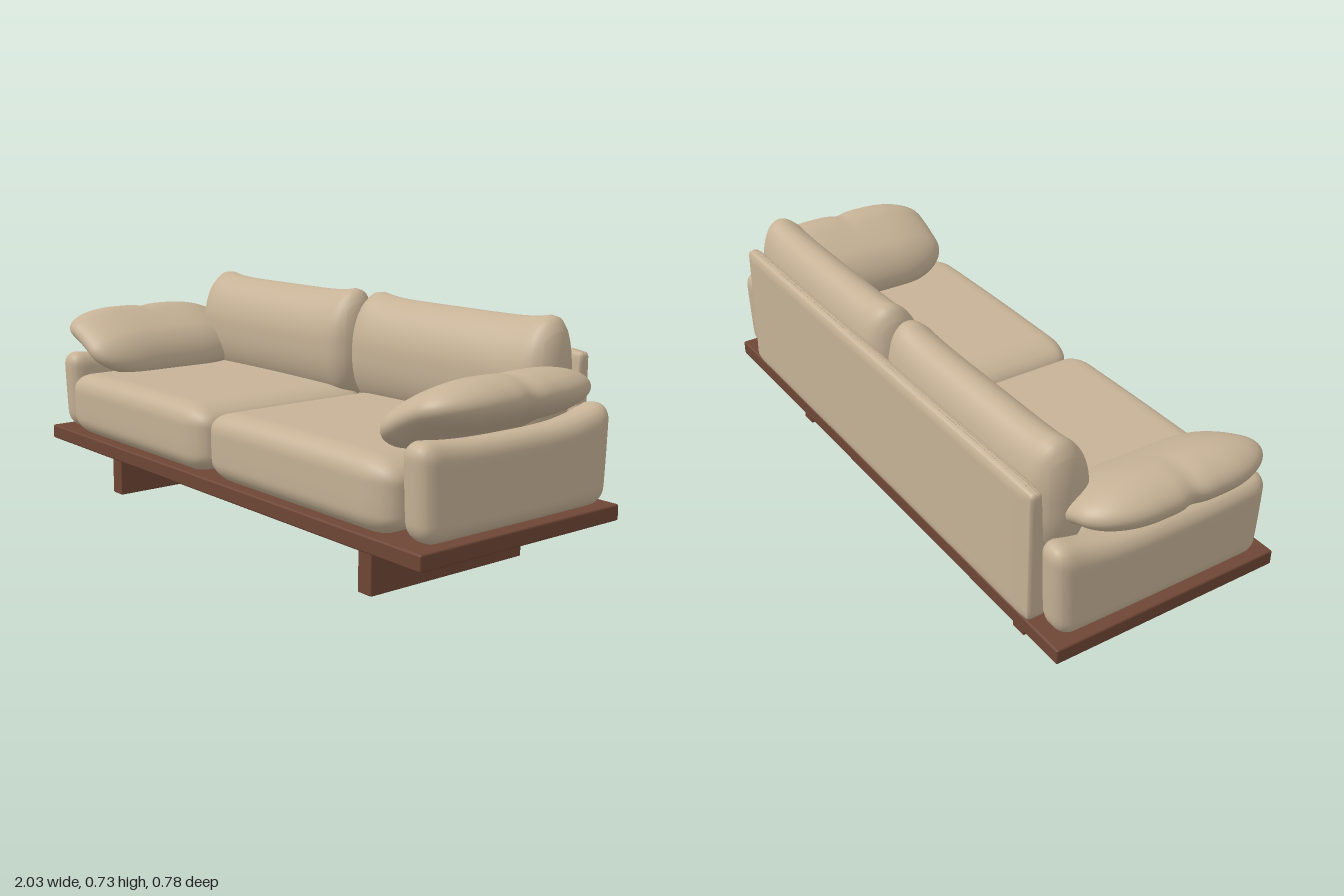
import * as THREE from 'three';
import { mergeVertices } from 'three/addons/utils/BufferGeometryUtils.js';
import { RoundedBoxGeometry } from 'three/addons/geometries/RoundedBoxGeometry.js';

const fabric = new THREE.MeshStandardMaterial({ color: 0xc6b296 });
fabric.name = 'beige fabric';
const wood = new THREE.MeshStandardMaterial({ color: 0x6e4635 });
wood.name = 'brown wood';

// Soft box: a subdivided box with elliptical edge radii, reshaped by a rule.
// warp gets the point p and u, its position as -1..1 on each axis.
function cushion(name, side, size, radii, centre, warp = () => {}, tilt = 0) {
  let geo = new THREE.BoxGeometry(...size, 36, 24, 36);
  geo.deleteAttribute('normal');
  geo.deleteAttribute('uv');
  geo = mergeVertices(geo, 1e-5);
  geo.clearGroups();
  const pos = geo.attributes.position;
  const half = new THREE.Vector3(...size).multiplyScalar(0.5);
  const r = new THREE.Vector3(...radii).min(half);
  const core = half.clone().sub(r);
  const p = new THREE.Vector3();
  const axis = new THREE.Vector3(0, 0, 1);
  for (let i = 0; i < pos.count; i++) {
    p.fromBufferAttribute(pos, i);
    const inner = p.clone().clamp(core.clone().negate(), core);
    p.sub(inner).divide(r).normalize().multiply(r).add(inner);
    warp(p, p.clone().divide(half));
    p.applyAxisAngle(axis, tilt).add(new THREE.Vector3(...centre));
    pos.setXYZ(i, p.x * side, p.y, p.z);
  }
  if (side < 0) geo.index.array.reverse();
  geo.computeVertexNormals();
  const mesh = new THREE.Mesh(geo, fabric);
  mesh.name = name;
  return mesh;
}

function plank(name, size, centre, radius) {
  const mesh = new THREE.Mesh(new RoundedBoxGeometry(...size, 2, radius), wood);
  mesh.name = name;
  mesh.position.set(...centre);
  return mesh;
}

export function createModel() {
  const sofa = new THREE.Group();
  sofa.name = 'sofa';

  // wooden platform
  sofa.add(plank('platform', [1.94, 0.048, 0.765], [0, 0.182, 0], 0.006));

  // back panel, its front face sloping back towards the top
  sofa.add(cushion('backPanel', 1, [1.68, 0.425, 0.06], [0.02, 0.02, 0.02], [0, 0.418, -0.36],
    (p, u) => { if (p.z > 0) p.z -= 0.012 * u.y; }));

  for (const side of [1, -1]) {
    const name = side > 0 ? 'left' : 'right';

    // slab leg and the small batten beside it
    sofa.add(plank(name + 'Leg', [0.056, 0.165, 0.59], [side * 0.662, 0.0825, 0.005], 0.004));
    sofa.add(plank(name + 'Batten', [0.035, 0.02, 0.2], [side * 0.578, 0.153, 0], 0.004));

    // seat cushion with a slightly crowned top
    sofa.add(cushion(name + 'SeatCushion', side, [0.85, 0.21, 0.68], [0.11, 0.06, 0.06], [0.425, 0.309, 0.048],
      (p, u) => {
        if (u.y > 0) p.y += 0.006 * (1 - u.x ** 2) * u.y;
        else p.z -= 0.008 * Math.max(u.z, 0) * u.y * u.y;
      }));

    // back cushion: lens-shaped top, pinched sides and raised upper corners
    sofa.add(cushion(name + 'BackCushion', side, [0.85, 0.35, 0.195], [0.07, 0.16, 0.0975], [0.425, 0.545, -0.258],
      (p, u) => {
        const edge = Math.abs(u.x) ** 6;
        if (u.y > 0) {
          p.y += 0.04 * edge * u.y;
          p.z -= 0.02 * u.y ** 2;
        }
        p.z *= 1 - 0.12 * edge;
      }));

    // arm: flared upwards, with a top that dips and rises at the back
    sofa.add(cushion(name + 'Arm', side, [0.115, 0.255, 0.725], [0.05, 0.05, 0.05], [0.8975, 0.33, -0.008],
      (p, u) => {
        const t = (u.y + 1) / 2;
        const rise = u.z < 0 ? 0.055 : 0.025;
        p.y += t * rise * Math.abs(u.z) ** 3;
        p.z *= 0.95 + 0.05 * Math.sqrt(Math.max(t, 0));
      }));

    // arm pillow: tilted inwards, drooping at the ends, with a shallow fold
    sofa.add(cushion(name + 'ArmPillow', side, [0.365, 0.14, 0.61], [0.12, 0.07, 0.2], [0.834, 0.524, 0.025],
      (p, u) => {
        const fold = Math.exp(-((p.z / 0.03) ** 2)) * Math.max(0, u.x);
        p.y *= 1 - 0.08 * fold;
        p.x -= 0.012 * fold;
        p.y -= 0.8 * p.x * p.x;
        p.z += 0.012 * u.z * Math.abs(u.x) ** 3;
      }, 0.44));
  }
  return sofa;
}
